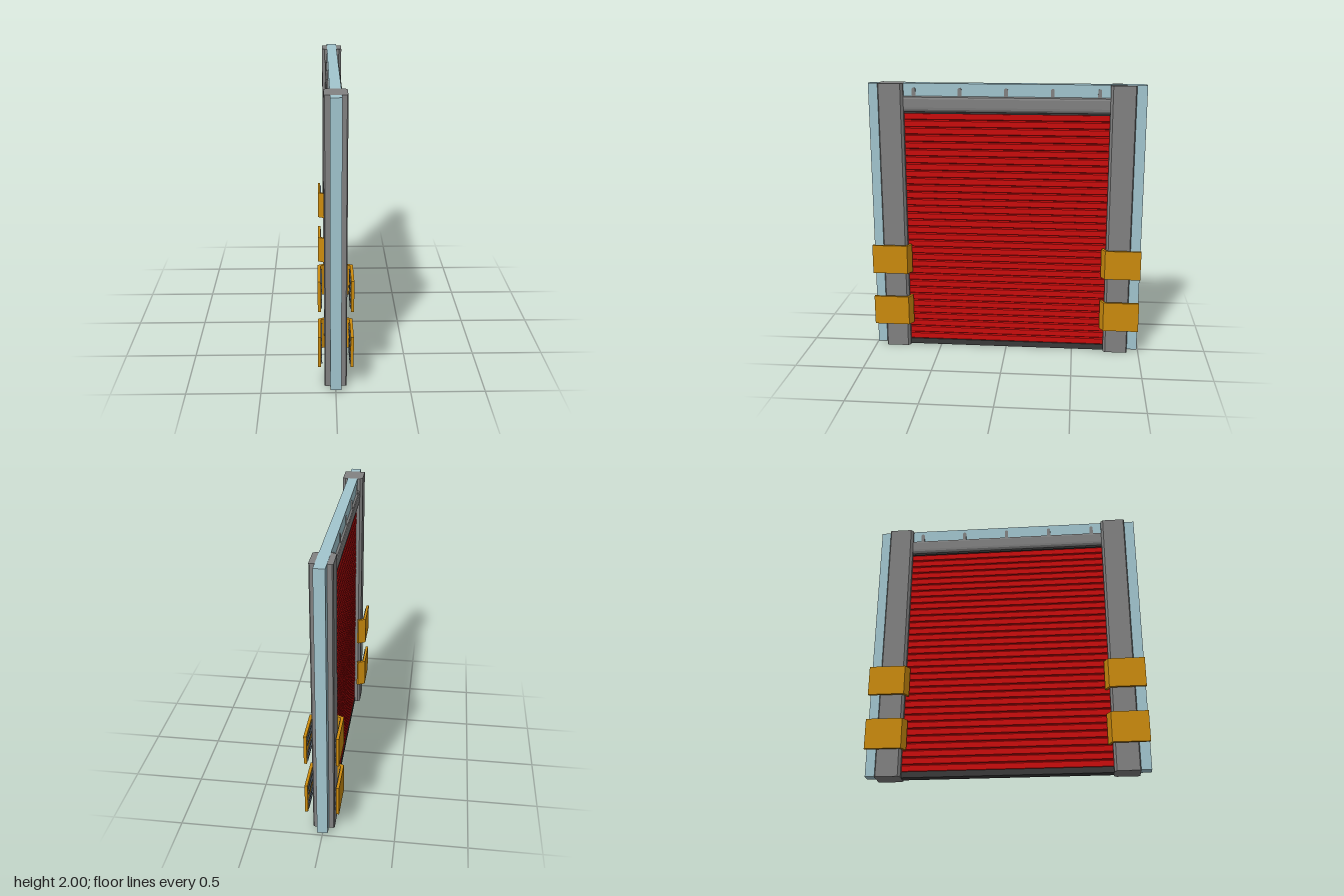
import * as THREE from 'three';

const mat = (name, color) => {
  const m = new THREE.MeshStandardMaterial({ color });
  m.name = name;
  return m;
};

export function createModel() {
  const red = mat('curtain red', 0xcc0c0c);
  const grey = mat('steel grey', 0x828282);
  const dark = mat('rubber dark grey', 0x3a3a3a);
  const blue = mat('frame pale blue', 0xa2c6cf);
  const orange = mat('guard orange', 0xcc8b0d);
  const slate = mat('padding slate', 0x56626b);

  const model = new THREE.Group();
  model.name = 'rollerDoor';

  const add = (parent, name, geo, material, x = 0, y = 0, z = 0) => {
    const mesh = new THREE.Mesh(geo, material);
    mesh.name = name;
    mesh.position.set(x, y, z);
    parent.add(mesh);
    return mesh;
  };
  // box given by its limits
  const box = (parent, name, material, x0, x1, y0, y1, z0, z1) =>
    add(parent, name, new THREE.BoxGeometry(x1 - x0, y1 - y0, z1 - z0), material,
      (x0 + x1) / 2, (y0 + y1) / 2, (z0 + z1) / 2);
  const polygon = (pts) => new THREE.Shape(pts.map(([x, y]) => new THREE.Vector2(x, y)));
  const extrude = (shape, depth) =>
    new THREE.ExtrudeGeometry(shape, { depth, bevelEnabled: false, curveSegments: 6 });
  // x/y profile swept along z, centred
  const alongZ = (pts, length) => extrude(polygon(pts), length).translate(0, 0, -length / 2);
  // x/z plan raised along y
  const upright = (pts, height) =>
    extrude(polygon(pts.map(([x, z]) => [x, -z])), height).rotateX(-Math.PI / 2);
  // close a right-hand profile with its mirror image
  const mirrored = (half) => [...half, ...half.map(([x, y]) => [-x, y]).reverse()];

  // slatted curtain: bulging slats with a groove between each pair
  const slats = 33, bottom = 0.04, pitch = (1.79 - bottom) / slats;
  const half = [];
  for (let i = 0; i < slats; i++) {
    const y = bottom + i * pitch;
    half.push([0.022, y], [0.03, y + pitch * 0.12], [0.03, y + pitch * 0.86]);
  }
  half.push([0.022, 1.79]);
  add(model, 'curtain', alongZ(mirrored(half), 1.48), red);
  box(model, 'bottomSeal', dark, -0.033, 0.033, 0, 0.042, -0.74, 0.74);

  // header housing with rounded lower edge and dark lip
  add(model, 'header', alongZ(mirrored([
    [0.034, 1.797], [0.046, 1.803], [0.053, 1.815], [0.055, 1.83],
    [0.055, 1.89], [0.05, 1.903], [0.037, 1.91],
  ]), 1.48), grey);
  box(model, 'headerLip', dark, -0.042, 0.042, 1.785, 1.798, -0.738, 0.738);

  // top beam with round-topped hanger tabs on both faces
  box(model, 'topBeam', blue, -0.037, 0.037, 1.8, 2, -0.99, 0.74);
  for (const z of [-0.66, -0.33, 0, 0.33, 0.66]) {
    const tab = new THREE.Shape();
    tab.moveTo(-0.013, 1.9);
    tab.lineTo(0.013, 1.9);
    tab.lineTo(0.013, 1.957);
    tab.absarc(0, 1.957, 0.013, 0, Math.PI, false);
    tab.lineTo(-0.013, 1.9);
    const geo = extrude(tab, 0.09).translate(0, 0, -0.045).rotateY(Math.PI / 2);
    add(model, 'hangerTab', geo, grey, 0, 0, z);
  }

  // one guard: flat plate bent inward at its door edge, with padding strips inside
  const addGuard = (parent, s, y0, y1) => {
    const guard = new THREE.Group();
    guard.name = 'guard';
    add(guard, 'guardPlate', upright([
      [0.117, 0.99], [0.117, 0.73], [0.062, 0.702], [0.05, 0.708],
      [0.05, 0.722], [0.06, 0.722], [0.097, 0.742], [0.097, 0.99],
    ].map(([x, z]) => [x * s, z]), y1 - y0), orange, 0, y0, 0);
    for (const t of [0.12, 0.33, 0.67, 0.88]) {
      const y = y0 + t * (y1 - y0);
      const strip = new THREE.BoxGeometry(0.008, 0.016, 0.22);
      add(guard, 'guardStrip', strip, slate, s * 0.094, y, 0.865);
    }
    parent.add(guard);
  };

  // one side: guide post, outer frame post and four guards
  const addSide = (name, turn, top) => {
    const side = new THREE.Group();
    side.name = name;
    add(side, 'guidePost', upright(mirrored([
      [0.055, 0.735], [0.075, 0.752], [0.075, 0.908], [0.068, 0.915],
    ]), top), grey);
    box(side, 'framePost', blue, -0.037, 0.037, 0.013, 1.999, 0.9, 0.99);
    for (const s of [1, -1]) {
      addGuard(side, s, 0.19, 0.41);
      addGuard(side, s, 0.595, 0.81);
    }
    side.rotation.y = turn;
    model.add(side);
  };
  addSide('frontSide', 0, 2);
  addSide('backSide', Math.PI, 1.998);

  return model;
}
